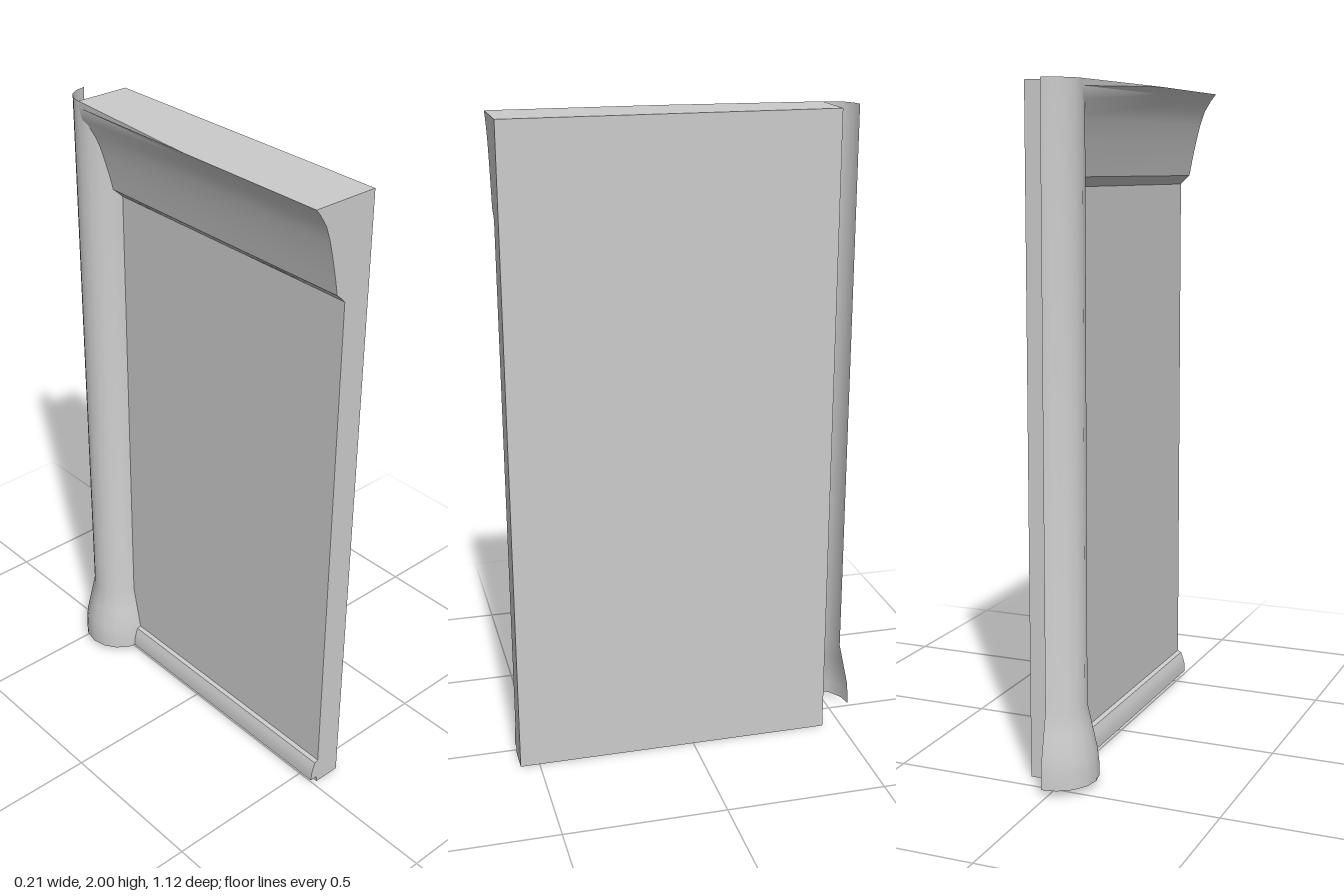
import * as THREE from 'three';
import { toCreasedNormals } from 'three/addons/utils/BufferGeometryUtils.js';

const BACK = -0.44, LENGTH = 1, FACE = 0.016, OUTER = 0.104;

export function createModel() {
  const group = new THREE.Group();
  const material = new THREE.MeshStandardMaterial({ color: 0xcccccc, side: THREE.DoubleSide });

  const add = (name, geometry) => {
    const mesh = new THREE.Mesh(geometry, material);
    mesh.name = name;
    group.add(mesh);
    return mesh;
  };

  // Moulding: an x/y profile run along the wall in two lengths
  const moulding = (points) => {
    const shape = new THREE.Shape(points.map(([x, y]) => new THREE.Vector2(x, y)));
    const geometry = new THREE.ExtrudeGeometry(shape, { depth: LENGTH, steps: 2, bevelEnabled: false });
    return geometry.translate(0, 0, BACK);
  };

  // Wall slab
  const wall = add('wall', new THREE.BoxGeometry(OUTER - FACE, 2, LENGTH));
  wall.position.set((OUTER + FACE) / 2, 1, BACK + LENGTH / 2);

  // Cornice, its overhang narrowing towards the corner column
  const cornice = moulding([
    [FACE, 2], [-0.104, 2], [-0.088, 1.98], [-0.066, 1.945], [-0.05, 1.9],
    [-0.035, 1.84], [-0.023, 1.785], [-0.014, 1.738], [-0.002, 1.728], [FACE, 1.71],
  ]);
  const position = cornice.attributes.position;
  for (let i = 0; i < position.count; i++) {
    if (position.getZ(i) < BACK + 0.01) position.setX(i, Math.max(position.getX(i), -0.069));
  }
  add('cornice', toCreasedNormals(cornice, 0.5));

  // Skirting with a rounded upper lip
  add('skirting', toCreasedNormals(moulding([
    [FACE, 0.02], [-0.01, 0.02], [-0.009, 0.045], [-0.004, 0.065],
    [0.001, 0.078], [0.004, 0.086], [FACE, 0.092],
  ]), 0.5));

  // Half-round corner column, an open shell with a flared foot
  const profile = [[0.12, 0.02], [0.119, 0.06], [0.115, 0.1], [0.1, 0.17], [0.085, 0.24], [0.085, 2]]
    .map(([r, y]) => new THREE.Vector2(r, y));
  const column = add('cornerColumn',
    toCreasedNormals(new THREE.LatheGeometry(profile, 8, Math.PI, Math.PI), 0.6));
  column.position.set(FACE, 0, BACK);

  return group;
}
